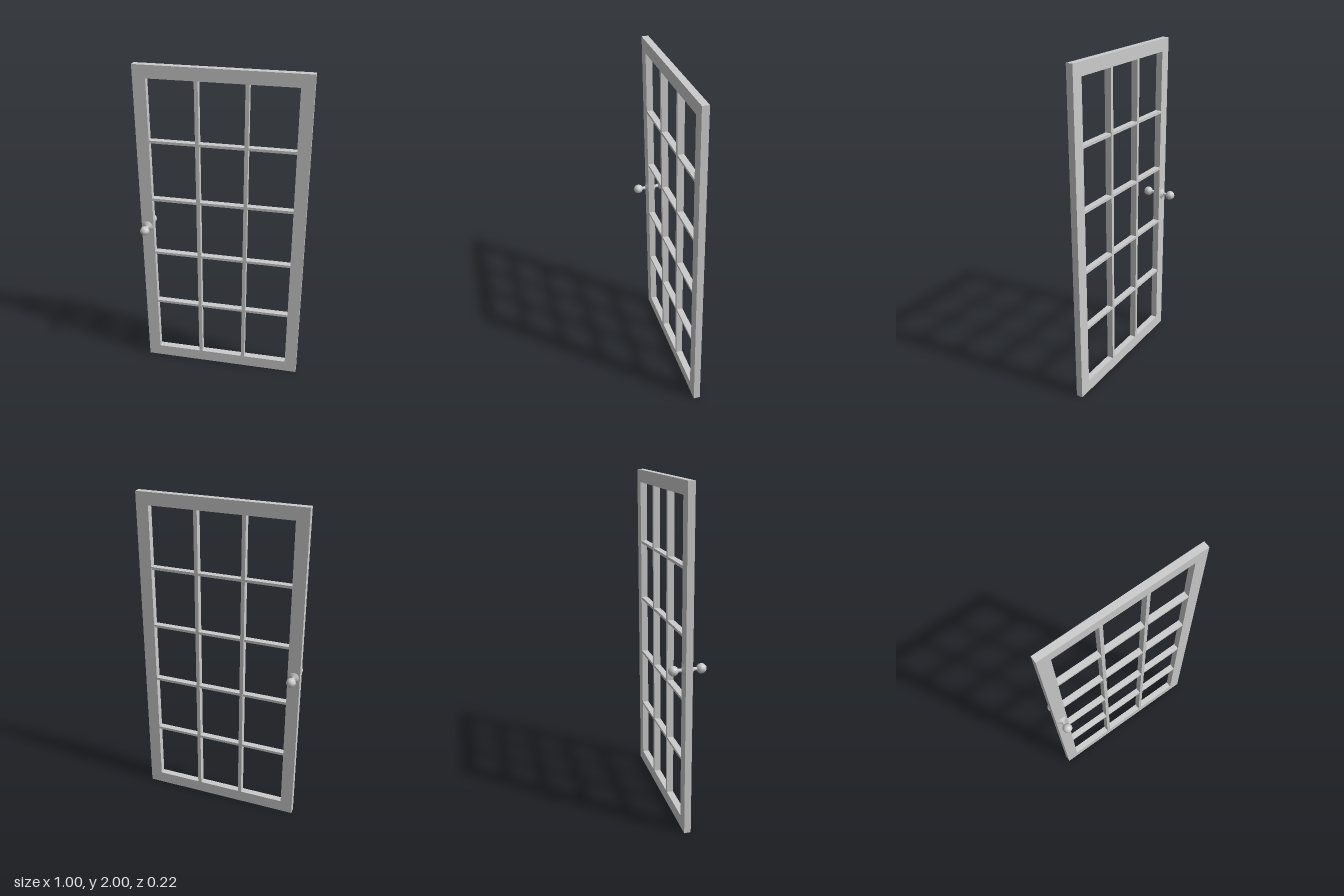
import * as THREE from 'three';

export function createModel() {
  const door = new THREE.Group();
  door.name = 'glazedDoor';
  const material = new THREE.MeshStandardMaterial({ color: 0xcccccc });
  const add = (parent, name, geometry, x = 0, y = 0, z = 0) => {
    const mesh = new THREE.Mesh(geometry, material);
    mesh.name = name;
    mesh.position.set(x, y, z);
    parent.add(mesh);
    return mesh;
  };

  const W = 1, H = 2, D = 0.04, B = 0.075;   // width, height, depth, border
  const innerW = W - 2 * B, innerH = H - 2 * B;
  const columns = 3, rows = 5;

  // Outer frame: one rectangle with a rectangular opening
  const rectangle = (path, x, y) =>
    path.moveTo(-x, -y).lineTo(x, -y).lineTo(x, y).lineTo(-x, y).closePath();
  const outline = rectangle(new THREE.Shape(), W / 2, H / 2);
  outline.holes.push(rectangle(new THREE.Path(), innerW / 2, innerH / 2));
  const frame = new THREE.ExtrudeGeometry(outline, { depth: D, bevelEnabled: false });
  add(door, 'frame', frame, 0, H / 2, -D / 2);

  // Upright glazing bars
  const barW = 0.022, barH = 0.016;
  for (let i = 1; i < columns; i++) {
    add(door, 'uprightBar', new THREE.BoxGeometry(barW, innerH, D),
      -innerW / 2 + (i * innerW) / columns, H / 2, 0);
  }

  // Cross bars
  for (let j = 1; j < rows; j++) {
    add(door, 'crossBar', new THREE.BoxGeometry(innerW, barH, D - 0.002),
      0, B + (j * innerH) / rows, 0);
  }

  // A door knob on each face: flared rose, neck and ball
  for (const side of [1, -1]) {
    const knob = new THREE.Group();
    knob.name = side > 0 ? 'frontKnob' : 'backKnob';
    knob.position.set(-0.463, 1, (side * D) / 2);
    knob.rotation.x = (side * Math.PI) / 2;
    add(knob, 'rose', new THREE.CylinderGeometry(0.0105, 0.034, 0.015, 12), 0, 0.0075, 0);
    add(knob, 'neck', new THREE.CylinderGeometry(0.0105, 0.0105, 0.03, 12), 0, 0.028, 0);
    add(knob, 'ball', new THREE.SphereGeometry(0.029, 10, 8), 0, 0.06, 0);
    door.add(knob);
  }
  return door;
}
